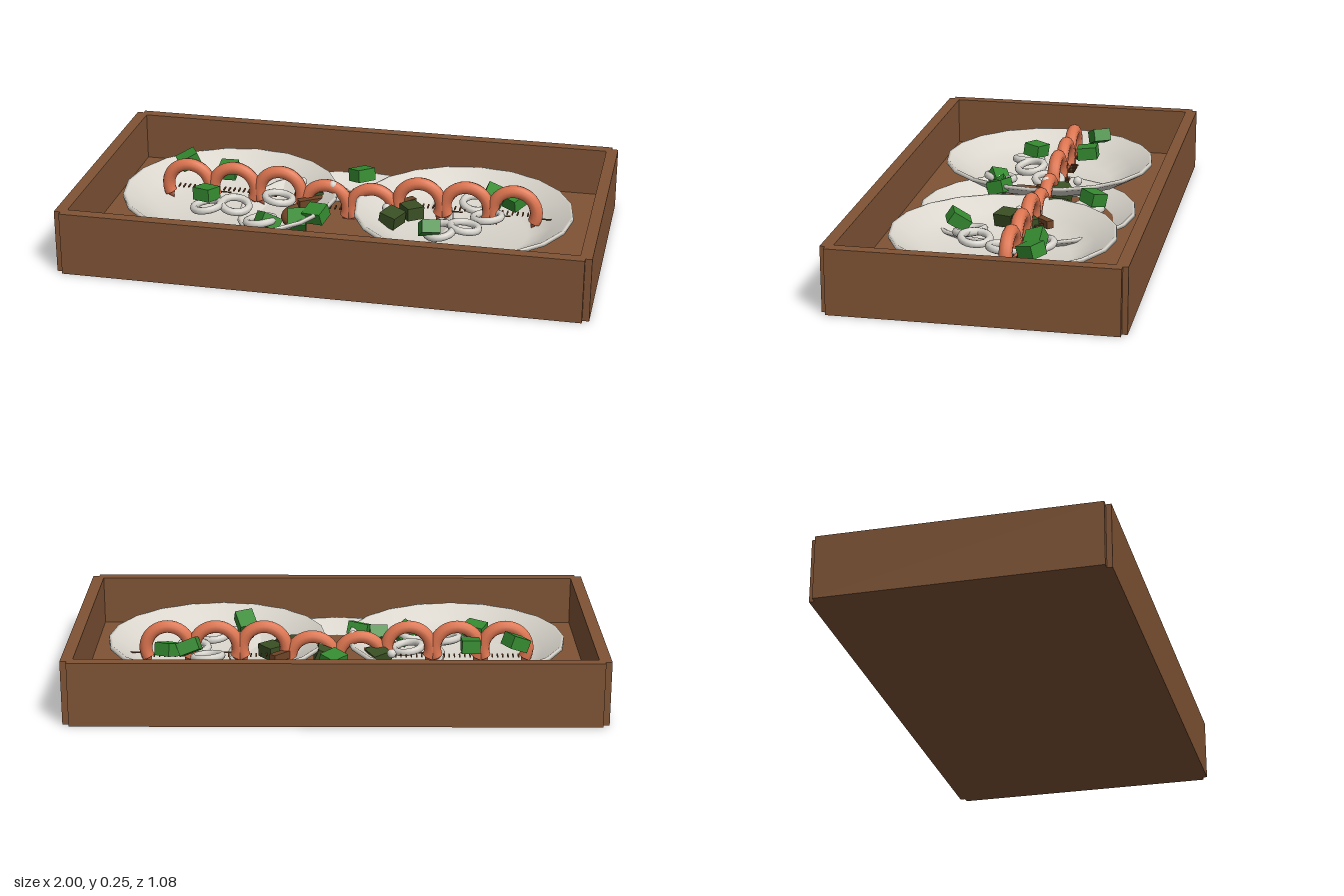
import * as THREE from 'three';

const mat = (name, color, side = THREE.FrontSide) => {
  const m = new THREE.MeshStandardMaterial({ color, side });
  m.name = name;
  return m;
};

export function createModel() {
  const root = new THREE.Group();
  root.name = 'servingTray';
  const wood = mat('wood', 0x7f5335);
  const china = mat('china', 0xdad6cd, THREE.DoubleSide);
  const onion = mat('onion', 0xd6d3cc);
  const coral = mat('coral', 0xdd7550);
  const green = mat('green', 0x348a30);
  const darkGreen = mat('darkGreen', 0x3a4f24);
  const brown = mat('brown', 0x6e4426);

  const add = (name, geo, material, x, y, z, parent = root) => {
    const m = new THREE.Mesh(geo, material);
    m.name = name;
    m.position.set(x, y, z);
    parent.add(m);
    return m;
  };

  // Tray: floor and four walls with notched corners
  add('trayFloor', new THREE.BoxGeometry(1.95, 0.055, 1.04), wood, 0, 0.0275, 0);
  for (const s of [-1, 1]) {
    add('longWall', new THREE.BoxGeometry(1.95, 0.245, 0.045), wood, 0, 0.1225, s * 0.5175);
    add('shortWall', new THREE.BoxGeometry(0.045, 0.245, 1.04), wood, s * 0.9775, 0.1225, 0);
  }

  // Three shallow dishes; the middle one is sunk into the floor
  const profile = [[0, 0], [0.25, 0.004], [0.34, 0.055], [0.41, 0.1], [0.42, 0.1], [0.422, 0.088], [0.35, 0.045]]
    .map(([r, y]) => new THREE.Vector2(r, y));
  const dish = new THREE.LatheGeometry(profile, 20);
  for (const [x, y] of [[-0.46, 0.065], [0, 0.003], [0.46, 0.065]]) add('dish', dish, china, x, y, 0);

  // Row of curled prawns with thin legs and a pointed tail
  const body = new THREE.TorusGeometry(0.085, 0.025, 10, 24, Math.PI * 1.28);
  body.rotateZ(-Math.PI * 0.14);
  const leg = new THREE.BoxGeometry(0.005, 0.006, 0.03);
  const tail = new THREE.ConeGeometry(0.02, 0.03, 8);
  const feeler = new THREE.CylinderGeometry(0.003, 0.003, 0.07, 5);
  for (let i = 0; i < 8; i++) {
    const prawn = new THREE.Group();
    prawn.name = 'prawn';
    prawn.position.set((i - 3.5) * 0.185, i === 3 || i === 4 ? 0.1 : 0.14, -0.065);
    root.add(prawn);
    add('prawnBody', body, coral, 0, 0, 0, prawn);
    for (const s of [-1, 1]) {
      const a = -Math.PI * 0.14;
      const t = add('prawnTip', tail, coral, s * 0.085 * Math.cos(a) - s * 0.004, 0.085 * Math.sin(a) - 0.012, 0, prawn);
      t.rotation.z = Math.PI - s * 0.45;
    }
    for (let k = 0; k < 6; k++) add('prawnLeg', leg, brown, -0.05 + k * 0.02, -0.02, -0.03, prawn);
    add('feeler', feeler, brown, 0.135, -0.02, 0, prawn).rotation.z = Math.PI / 2;
  }

  // Onion rings
  const ring = new THREE.TorusGeometry(0.053, 0.015, 8, 20).rotateX(Math.PI / 2);
  const rings = [[-0.53, 0.13, 0.1], [-0.425, 0.13, 0.07], [-0.3, 0.12, 0.17], [-0.275, 0.13, -0.03],
    [0.39, 0.13, 0.14], [0.48, 0.135, 0.1], [0.55, 0.13, -0.02], [0.49, 0.13, -0.14], [-0.1, 0.08, -0.22]];
  rings.forEach(([x, y, z], i) => {
    add('onionRing', ring, onion, x, y, z).rotation.set(0.15 * Math.sin(i * 2), 0, 0.15 * Math.cos(i * 3));
  });

  // Small pearls
  const pearl = new THREE.SphereGeometry(0.018, 10, 8);
  for (const [x, y, z] of [[-0.21, 0.15, -0.16], [-0.065, 0.19, -0.06], [0.07, 0.1, -0.24], [0.08, 0.1, 0.28], [0.16, 0.14, 0]])
    add('pearl', pearl, onion, x, y, z);

  // Browned curl in the middle
  const curl = new THREE.TorusGeometry(0.11, 0.015, 8, 20, Math.PI).rotateX(Math.PI / 2).rotateY(Math.PI / 2);
  add('brownCurl', curl, brown, -0.12, 0.1, 0.05).rotation.y = Math.PI;
  const strip = new THREE.BoxGeometry(0.1, 0.03, 0.03);
  for (const [x, z, r] of [[-0.15, -0.04, 0.6], [0.21, -0.1, 0.8]]) add('brownStrip', strip, brown, x, 0.12, z).rotation.y = r;

  // Diced herbs tilted every which way
  const dice = new THREE.BoxGeometry(0.08, 0.05, 0.07);
  const herbs = [[-0.68, 0.2, -0.17], [-0.51, 0.18, -0.15], [-0.54, 0.17, 0.07], [-0.27, 0.12, 0.17],
    [-0.16, 0.125, 0.15], [-0.09, 0.15, 0.13], [0.01, 0.16, -0.26], [0.36, 0.16, 0.19],
    [0.56, 0.17, -0.14], [0.64, 0.16, -0.14]];
  const shaded = [[-0.16, 0.12, -0.1], [0.04, 0.13, -0.13], [0.19, 0.12, 0.04], [0.25, 0.12, -0.04]];
  [...herbs, ...shaded].forEach(([x, y, z], i) => {
    const m = add('herbDice', dice, i < herbs.length ? green : darkGreen, x, y, z);
    m.rotation.set(0.4 * Math.sin(i * 1.7), i * 1.1 + 0.5, 0.4 * Math.cos(i * 2.3));
  });

  return root;
}
